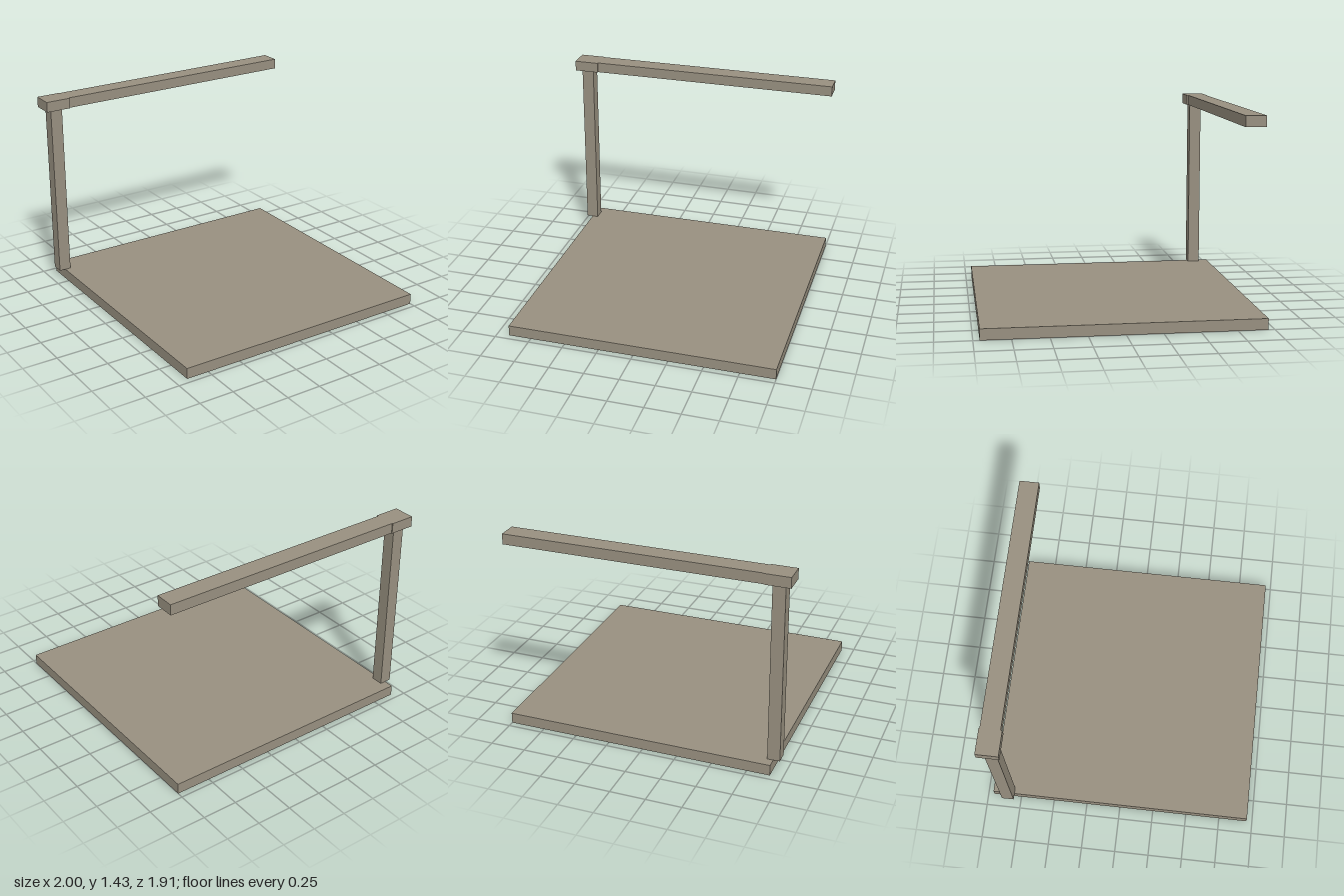
import * as THREE from 'three';

export function createModel() {
  const model = new THREE.Group();
  const stone = new THREE.MeshStandardMaterial({ color: 0x989080 });
  stone.name = 'warm grey';

  // Box given by its extents along each axis
  const addBox = (name, [x0, x1], [y0, y1], [z0, z1]) => {
    const mesh = new THREE.Mesh(new THREE.BoxGeometry(x1 - x0, y1 - y0, z1 - z0), stone);
    mesh.name = name;
    mesh.position.set((x0 + x1) / 2, (y0 + y1) / 2, (z0 + z1) / 2);
    model.add(mesh);
  };

  const baseTop = 0.077;
  const armBottom = 1.353;
  const armTop = 1.428;

  // Square floor slab
  addBox('base', [-0.912, 1], [0, baseTop], [-0.956, 0.956]);
  // Upright at the back corner, overhanging the slab edge
  addBox('post', [-0.957, -0.869], [baseTop, armBottom], [-0.885, -0.797]);
  // Block joining post and arm
  addBox('postCap', [-1, -0.82], [armBottom, armTop], [-0.92, -0.764]);
  // Cantilevered arm along the back
  addBox('arm', [-0.82, 1], [armBottom, armTop], [-0.914, -0.775]);

  return model;
}
